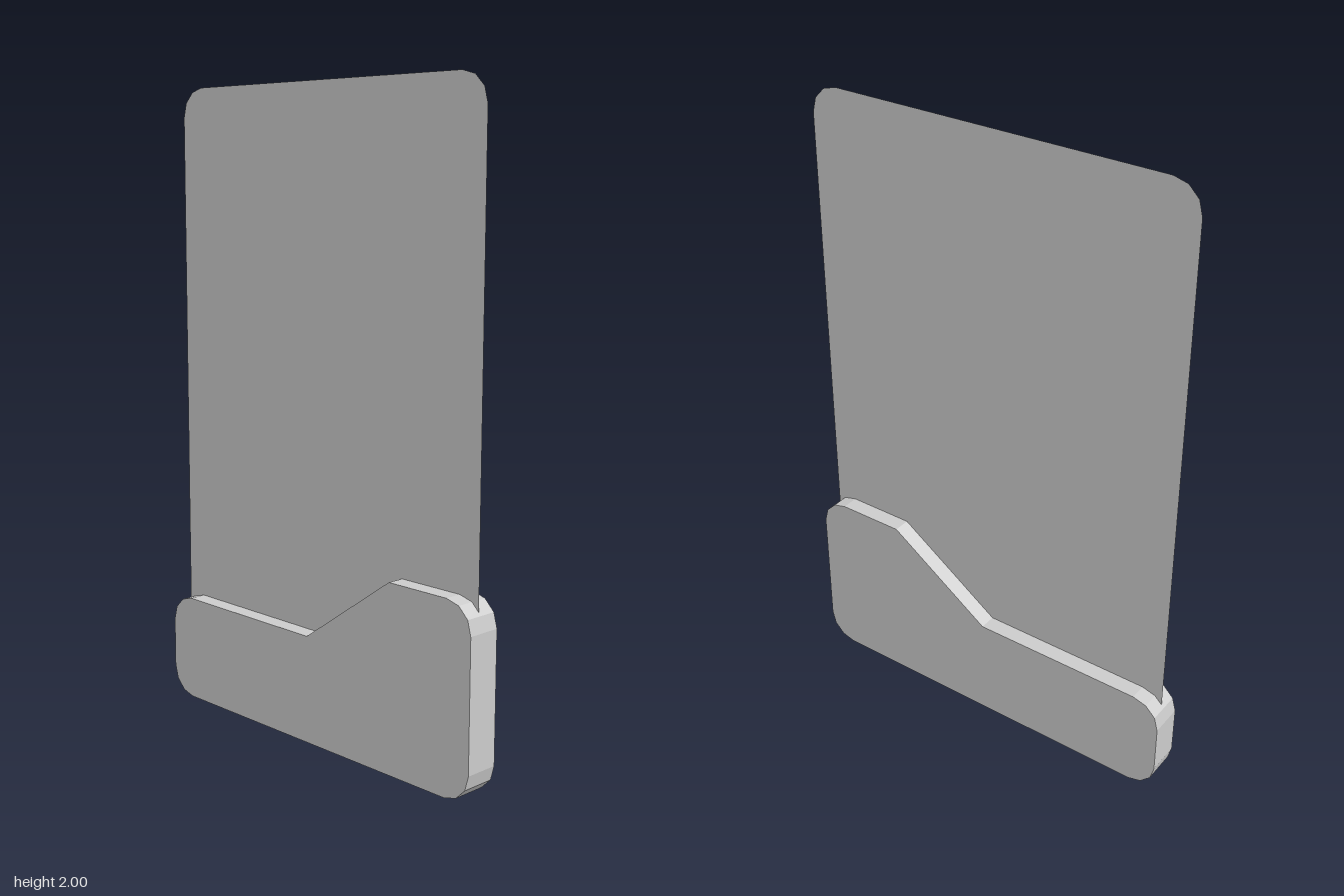
import * as THREE from 'three';

const CORNER_STEPS = 3;

// Points of a rounded corner (quarter circle) starting at the given angle
function corner(cx, cy, r, startAngle) {
  const points = [];
  for (let i = 0; i <= CORNER_STEPS; i++) {
    const a = startAngle + (i / CORNER_STEPS) * Math.PI / 2;
    points.push(new THREE.Vector2(cx + r * Math.cos(a), cy + r * Math.sin(a)));
  }
  return points;
}

// Counter-clockwise outline with rounded corners; the top may step between two heights
function outline(halfWidth, bottom, topRight, topLeft, r, step = []) {
  const x = halfWidth - r;
  return new THREE.Shape([
    ...corner(x, topRight - r, r, 0),
    ...step.map(([px, py]) => new THREE.Vector2(px, py)),
    ...corner(-x, topLeft - r, r, Math.PI / 2),
    ...corner(-x, bottom + r, r, Math.PI),
    ...corner(x, bottom + r, r, Math.PI * 1.5),
  ]);
}

export function createModel() {
  const group = new THREE.Group();
  group.name = 'panelInHolder';

  // Thick base with a sloped step along its top edge
  const depth = 0.11;
  const baseShape = outline(0.655, 0, 0.58, 0.34, 0.09, [[0.345, 0.58], [0, 0.34]]);
  const baseGeometry = new THREE.ExtrudeGeometry(baseShape, { depth, bevelEnabled: false });
  baseGeometry.translate(0, 0, -depth / 2);
  const base = new THREE.Mesh(
    baseGeometry,
    new THREE.MeshStandardMaterial({ color: 0xcccccc, flatShading: true })
  );
  base.name = 'base';
  group.add(base);

  // Paper-thin upright panel slotted into the base
  const panel = new THREE.Mesh(
    new THREE.ShapeGeometry(outline(0.635, 0.02, 2, 2, 0.09)),
    new THREE.MeshStandardMaterial({ color: 0xcccccc, side: THREE.DoubleSide })
  );
  panel.name = 'panel';
  group.add(panel);

  return group;
}
